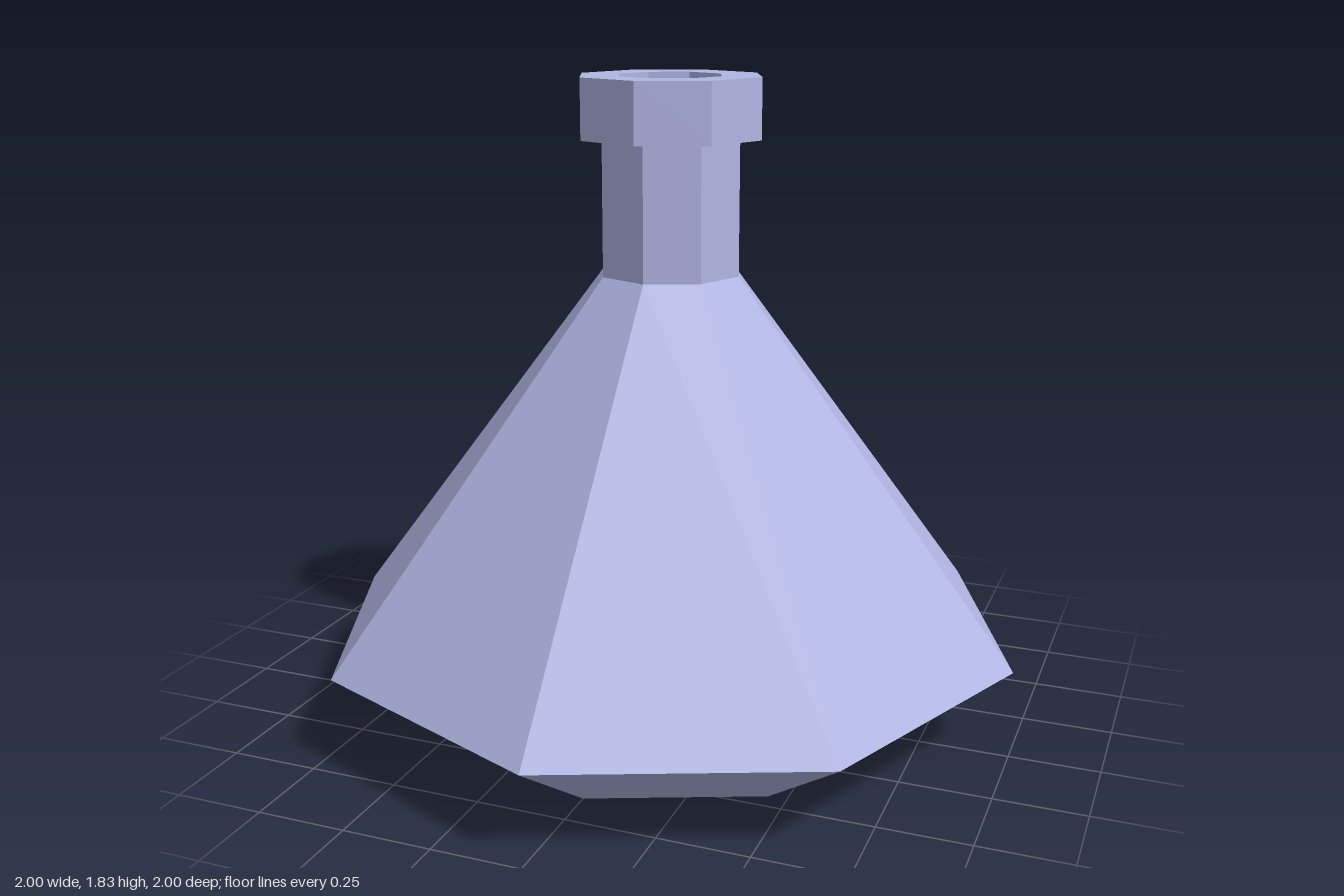
import * as THREE from 'three';

const SIDES = 8;

// Turns a profile of [radius, height] points, running up the outside, into a faceted solid
function turned(name, profile, material) {
  const points = profile.map(([r, y]) => new THREE.Vector2(r, y));
  const mesh = new THREE.Mesh(new THREE.LatheGeometry(points, SIDES), material);
  mesh.name = name;
  return mesh;
}

export function createModel() {
  const flask = new THREE.Group();
  flask.name = 'flask';

  const glass = new THREE.MeshStandardMaterial({ color: 0xb1b5e3, flatShading: true });
  glass.name = 'pale lilac glass';
  const blue = new THREE.MeshStandardMaterial({ color: 0x2323df, flatShading: true });
  blue.name = 'blue liquid';

  // Glass shell: base, flared body, neck, lip, then down the bore to the inner floor
  flask.add(turned('glassShell', [
    [0, 0], [0.635, 0], [1, 0.25], [0.2, 1.29], [0.2, 1.66],
    [0.26, 1.66], [0.26, 1.825], [0.148, 1.825],
    [0.148, 1.27], [0.9, 0.29], [0.62, 0.06], [0, 0.06],
  ], glass));

  // Liquid filling the lower half of the body
  flask.add(turned('liquid', [
    [0, 0.065], [0.61, 0.065], [0.89, 0.29], [0.575, 0.7], [0, 0.7],
  ], blue));

  return flask;
}
